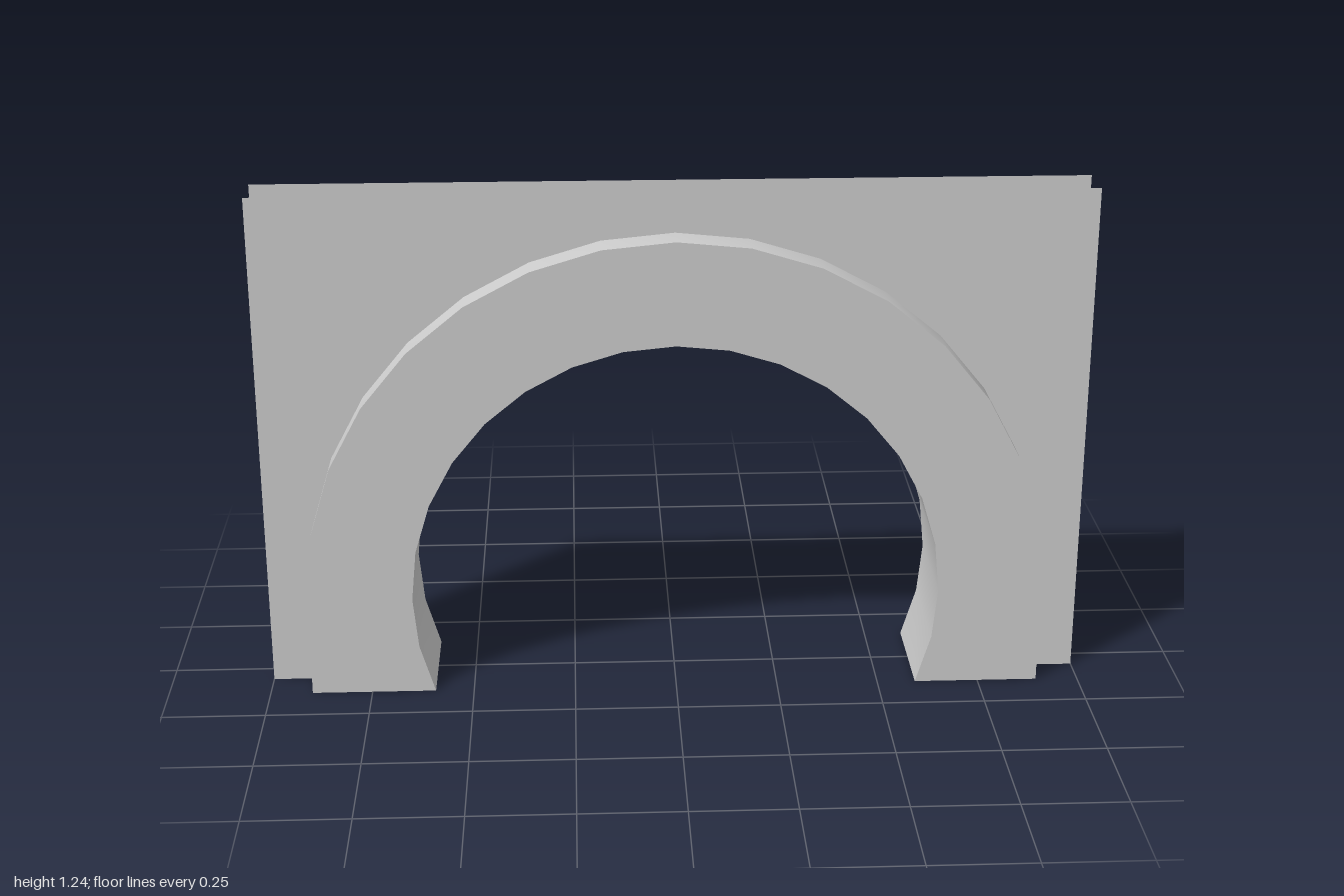
import * as THREE from 'three';

const R_OUT = 0.897, R_IN = 0.643, CY = 0.247, HEIGHT = 1.24;
const Z_FACE = 0.137, Z_WALL = 0.058, STEP = Math.PI / 16;

// Points of an arc, from +x over the top to -x, reaching `extra` steps below the centre
function arc(radius, extra) {
  const pts = [];
  for (let i = -extra; i <= 16 + extra; i++) {
    const a = i * STEP;
    pts.push(new THREE.Vector2(radius * Math.cos(a), Math.max(0, CY + radius * Math.sin(a))));
  }
  pts[0].y = pts[pts.length - 1].y = extra ? 0 : CY;
  return pts;
}

// Smooth open band: a profile swept straight along z; flip turns it to face inward
function strip(pts, z0, z1, flip) {
  const pos = [], index = [];
  pts.forEach((p, i) => {
    pos.push(p.x, p.y, z0, p.x, p.y, z1);
    if (i === 0) return;
    const a = 2 * i - 2, b = a + 1, c = a + 2, d = a + 3;
    if (flip) index.push(a, c, b, b, c, d);
    else index.push(a, b, c, b, d, c);
  });
  const g = new THREE.BufferGeometry();
  g.setAttribute('position', new THREE.Float32BufferAttribute(pos, 3));
  g.setIndex(index);
  g.computeVertexNormals();
  return g;
}

export function createModel() {
  const group = new THREE.Group();
  const material = new THREE.MeshStandardMaterial({ color: 0xcccccc, side: THREE.DoubleSide });
  const add = (name, geometry, parent) => {
    const mesh = new THREE.Mesh(geometry, material);
    mesh.name = name;
    parent.add(mesh);
    return mesh;
  };

  const inner = arc(R_IN, 2);
  const outer = [new THREE.Vector2(R_OUT, 0), ...arc(R_OUT, 0), new THREE.Vector2(-R_OUT, 0)];

  // Thin wall sheet, cut out along the outside of the arch
  const wall = new THREE.Shape([
    new THREE.Vector2(-1, 0), new THREE.Vector2(-1, HEIGHT),
    new THREE.Vector2(1, HEIGHT), new THREE.Vector2(1, 0), ...outer,
  ]);
  // Flat face of the arch moulding
  const face = new THREE.Shape([...outer, ...inner.slice().reverse()]);

  // Front and back are the same, turned about y
  for (const side of ['front', 'back']) {
    const half = new THREE.Group();
    half.name = side + 'Side';
    add(side + 'Wall', new THREE.ShapeGeometry(wall), half).position.z = Z_WALL;
    add(side + 'ArchFace', new THREE.ShapeGeometry(face), half).position.z = Z_FACE;
    add(side + 'ArchRim', strip(outer, Z_WALL, Z_FACE, true), half);
    if (side === 'back') half.rotation.y = Math.PI;
    group.add(half);
  }

  // Underside of the arch, through the full depth; the bottom stays open
  add('archSoffit', strip(inner, -Z_FACE, Z_FACE, false), group);

  return group;
}
